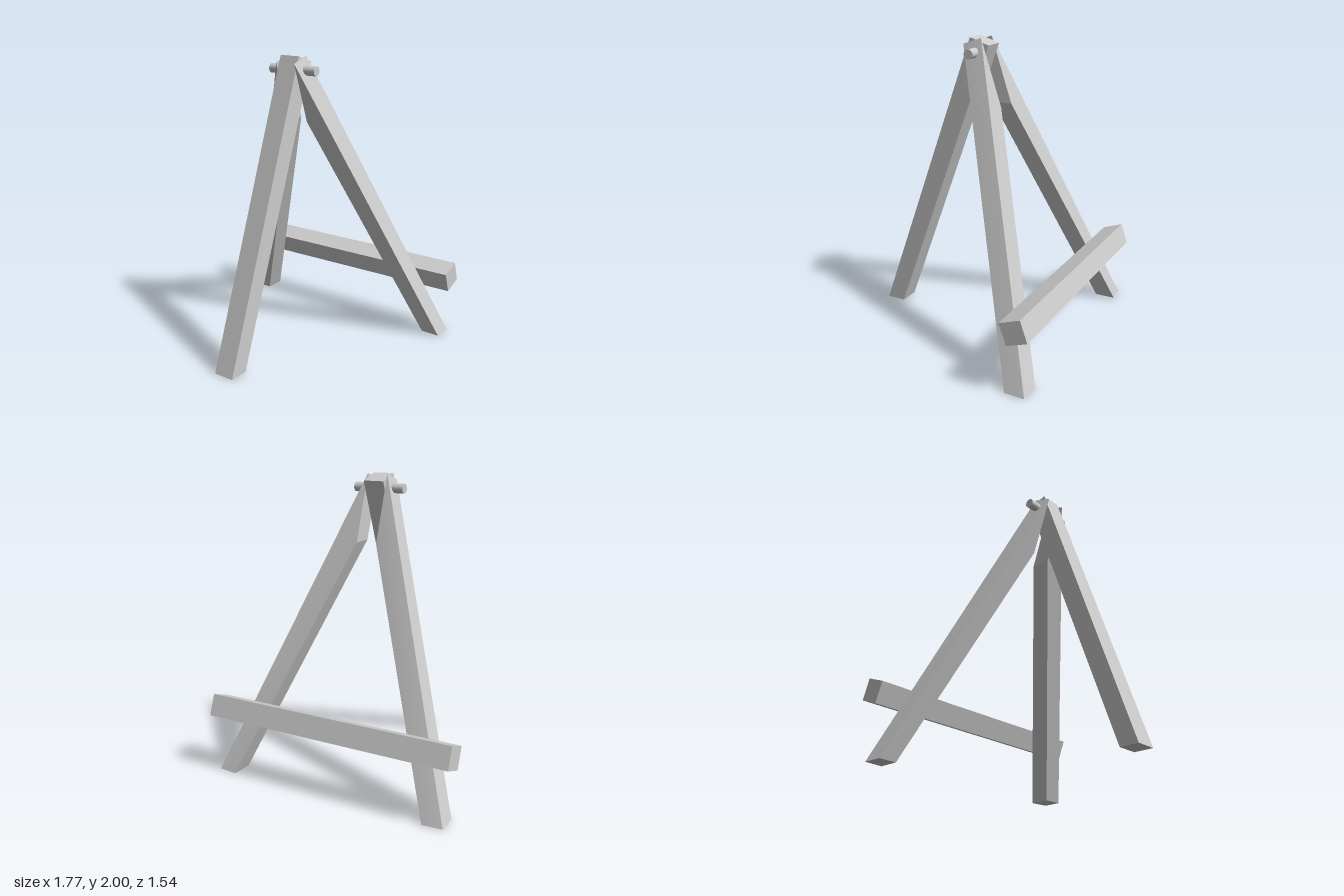
import * as THREE from 'three';

const material = new THREE.MeshStandardMaterial({ color: 0xcccccc });

function addMesh(group, name, geometry) {
  const mesh = new THREE.Mesh(geometry, material);
  mesh.name = name;
  group.add(mesh);
  return mesh;
}

// Moves the corners of a unit box to corner(x, y, z), each argument being -1 or 1
function shapedBox(corner) {
  const geometry = new THREE.BoxGeometry(2, 2, 2);
  const p = geometry.attributes.position;
  for (let i = 0; i < p.count; i++) {
    p.setXYZ(i, ...corner(p.getX(i), p.getY(i), p.getZ(i)));
  }
  geometry.computeVertexNormals();
  return geometry;
}

export function createModel() {
  const model = new THREE.Group();
  model.name = 'easel';
  const halfWidth = 0.073;

  // Front leg: flat foot, top cut square to its lean
  addMesh(model, 'frontLeg', shapedBox((x, y, z) => {
    if (y < 0) return [x * halfWidth, 0, z > 0 ? 0.769 : 0.634];
    return z > 0 ? [x * halfWidth, 2, 0.051] : [x * halfWidth, 1.955, -0.086];
  }));

  // Rear legs: splayed out and back, mitred flush against the front leg
  const foot = {
    outerFront: [0.841, 0, -0.605], outerBack: [0.845, 0, -0.74],
    innerFront: [0.71, 0, -0.61], innerBack: [0.71, 0, -0.752],
  };
  const mitre = {
    outerFront: [halfWidth, 1.955, 0.1], outerBack: [halfWidth, 2, -0.031],
    innerFront: [halfWidth, 1.56, -0.042], innerBack: [halfWidth, 1.56, -0.18],
  };
  for (const side of [-1, 1]) {
    addMesh(model, side > 0 ? 'rearLegLeft' : 'rearLegRight', shapedBox((x, y, z) => {
      const key = (x * side > 0 ? 'outer' : 'inner') + (z > 0 ? 'Front' : 'Back');
      const [cx, cy, cz] = (y > 0 ? mitre : foot)[key];
      return [cx * side, cy, cz];
    }));
  }

  // Crossbar lying on the backs of the rear legs
  const crossbar = addMesh(model, 'crossbar', new THREE.BoxGeometry(1.772, 0.146, 0.146));
  crossbar.position.set(0, 0.44, -0.68);
  crossbar.rotation.x = THREE.MathUtils.degToRad(20);

  // Pivot peg through the top
  const peg = addMesh(model, 'pivotPeg', new THREE.CylinderGeometry(0.032, 0.032, 0.364, 32));
  peg.rotation.z = Math.PI / 2;
  peg.position.set(0, 1.906, 0.004);

  return model;
}
